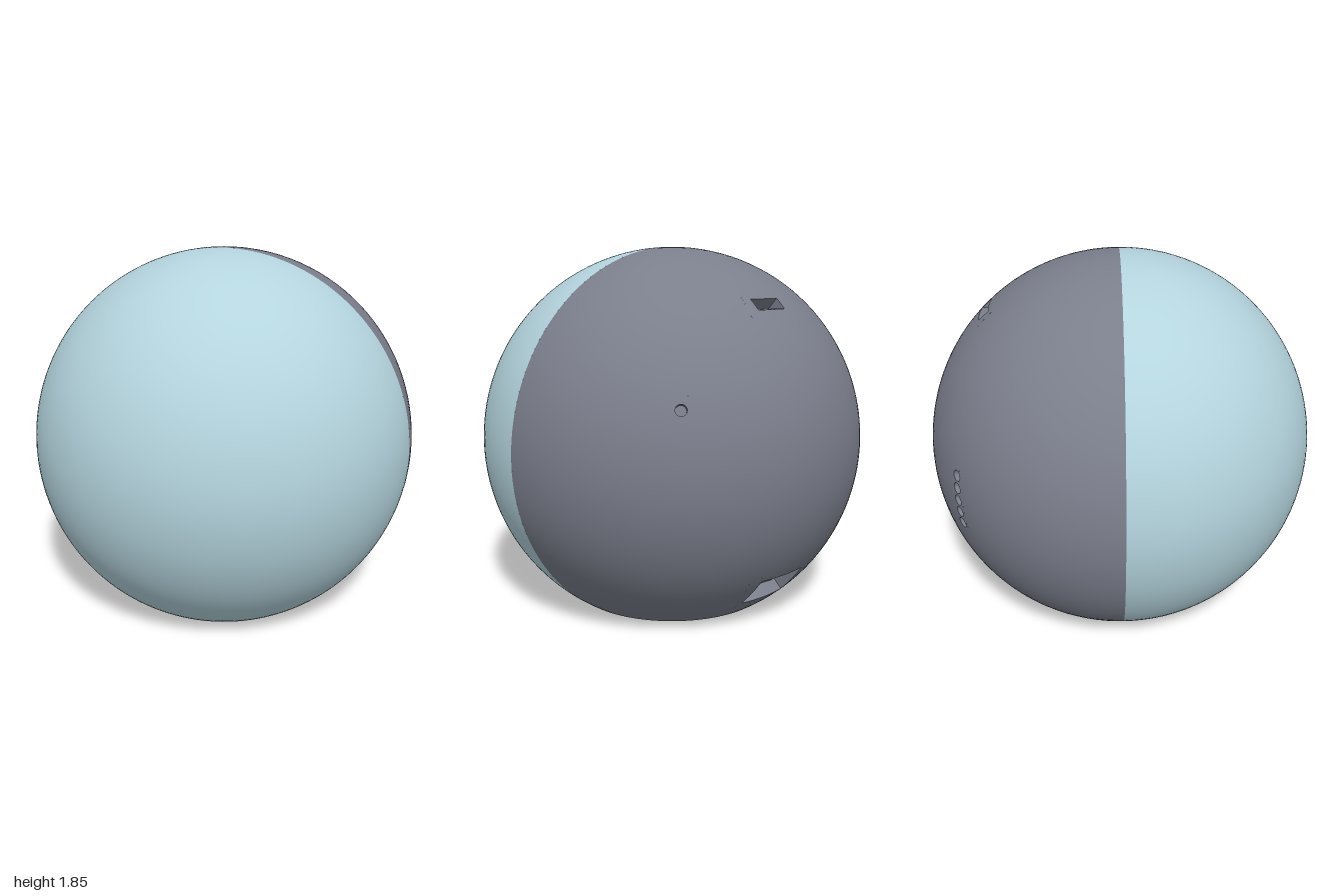
import * as THREE from 'three';

const CENTRE_Y = 0.845;
const RAD = Math.PI / 180;
const BASE_LAT = -Math.asin(CENTRE_Y) / RAD;
const BASE_R = Math.sqrt(1 - CENTRE_Y * CENTRE_Y);

// Point on the unit sphere; azimuth runs from the back (-z) towards +x
const onSphere = (az, lat) => new THREE.Vector3(
  Math.sin(az * RAD) * Math.cos(lat * RAD),
  Math.sin(lat * RAD),
  -Math.cos(az * RAD) * Math.cos(lat * RAD));

// Outlines map the border of a square (-1..1) to azimuth and latitude
const rectOutline = (halfX, lat0, lat1) => (u, v) => {
  const lat = lat0 + (lat1 - lat0) * (v + 1) / 2;
  return [Math.asin(u * halfX / Math.cos(lat * RAD)) / RAD, lat];
};
const roundOutline = (az, lat, r) => (u, v) => {
  const k = r / Math.hypot(u, v);
  return [az + u * k / Math.cos(lat * RAD), lat + v * k];
};

// cell: the patch of sphere [az0, az1, lat0, lat1] that surrounds each recess
const recesses = [
  { name: 'fingerSlot', cell: [-12, 12, 42, 51], centre: [0, 46.6],
    outline: rectOutline(0.09, 44.7, 48.7), depth: v => 0.072 * (v + 1) / 2 },
  { name: 'compartment', cell: [-15, 15, -48, -33], centre: [0, -40.5],
    outline: rectOutline(0.145, -46.1, -34.8), depth: () => 0.17, floor: 'green' },
  { name: 'sideHole', cell: [36, 42, 15, 21], centre: [39, 17.4],
    outline: roundOutline(39, 17.4, 1.5), depth: () => 0.04 },
];
for (let i = 0; i < 5; i++) {
  const lat = -8.9 + i * 3.9;
  recesses.push({ name: 'columnHole', cell: [-39.5, -34.5, lat - 1.95, lat + 1.95], centre: [-37, lat],
    outline: roundOutline(-37, lat, 1.6), depth: () => 0.04 });
}

// Splits the spans between breakpoints into steps of at most three degrees
function subdivide(breaks) {
  const out = [breaks[0]];
  for (let i = 1; i < breaks.length; i++) {
    const a = breaks[i - 1], span = breaks[i] - a, n = Math.ceil(span / 3 - 1e-6);
    for (let k = 1; k <= n; k++) out.push(a + span * k / n);
  }
  return out;
}

// Border of the square, counter-clockwise
function squareBorder(n) {
  const pts = [];
  const corners = [[-1, -1], [1, -1], [1, 1], [-1, 1]];
  corners.forEach(([x, y], i) => {
    const [x2, y2] = corners[(i + 1) % 4];
    for (let k = 0; k < n; k++) pts.push([x + (x2 - x) * k / n, y + (y2 - y) * k / n]);
  });
  return pts;
}

const addQuad = (list, a, b, c, d) => list.push(a, b, c, a, c, d);

function toGeometry(points, spherical) {
  const g = new THREE.BufferGeometry().setFromPoints(points);
  if (spherical) g.setAttribute('normal', g.getAttribute('position').clone());
  else g.computeVertexNormals();
  return g;
}

export function createModel() {
  const mats = {
    blue: new THREE.MeshStandardMaterial({ name: 'paleBlue', color: 0xb4d4de }),
    grey: new THREE.MeshStandardMaterial({ name: 'slateGrey', color: 0x7b7f8c }),
    green: new THREE.MeshStandardMaterial({ name: 'boardGreen', color: 0x72b295 }),
  };
  const model = new THREE.Group();
  model.name = 'splitGlobe';
  const add = (name, geometry, mat) => {
    const m = new THREE.Mesh(geometry, mats[mat]);
    m.name = name;
    m.position.y = CENTRE_Y;
    model.add(m);
    return m;
  };

  // Front half shell
  add('frontShell', new THREE.SphereGeometry(1, 64, 64, 0, Math.PI, 0, (90 - BASE_LAT) * RAD), 'blue');

  // Flat underside, one half disc per shell
  for (const [name, start, mat] of [['frontBase', Math.PI, 'blue'], ['backBase', 0, 'grey']]) {
    const disc = new THREE.CircleGeometry(BASE_R, 48, start, Math.PI).rotateX(Math.PI / 2);
    // rotating about x sends the disc's upper half to +z, so mirror by a half turn
    disc.rotateY(Math.PI);
    add(name, disc, mat).position.y = 0;
  }

  // Back half shell, leaving out the patches around the recesses
  const lats = subdivide([BASE_LAT, -48, -33, -10.85, -6.95, -3.05, 0.85, 4.75, 8.65, 15, 21, 42, 51, 90]);
  const azs = subdivide([-90, -39.5, -34.5, -15, -12, 12, 15, 36, 42, 90]);
  const shell = [];
  for (let j = 0; j < lats.length - 1; j++) {
    for (let i = 0; i < azs.length - 1; i++) {
      const az = (azs[i] + azs[i + 1]) / 2, lat = (lats[j] + lats[j + 1]) / 2;
      if (recesses.some(({ cell: c }) => az > c[0] && az < c[1] && lat > c[2] && lat < c[3])) continue;
      addQuad(shell, onSphere(azs[i], lats[j]), onSphere(azs[i], lats[j + 1]),
        onSphere(azs[i + 1], lats[j + 1]), onSphere(azs[i + 1], lats[j]));
    }
  }

  // Recesses: a ring of sphere surface, then walls and a floor
  const border = squareBorder(8);
  for (const r of recesses) {
    const [a0, a1, l0, l1] = r.cell;
    const inward = onSphere(...r.centre).negate();
    const outer = border.map(([u, v]) => onSphere(a0 + (a1 - a0) * (u + 1) / 2, l0 + (l1 - l0) * (v + 1) / 2));
    const rim = border.map(([u, v]) => onSphere(...r.outline(u, v)));
    const deep = border.map(([, v], i) => rim[i].clone().addScaledVector(inward, r.depth(v)));
    const middle = deep.reduce((s, p) => s.add(p), new THREE.Vector3()).divideScalar(deep.length);
    const walls = [], floor = [];
    border.forEach((_, i) => {
      const n = (i + 1) % border.length;
      addQuad(shell, outer[i], rim[i], rim[n], outer[n]);
      addQuad(walls, rim[i], deep[i], deep[n], rim[n]);
      floor.push(deep[i], middle, deep[n]);
    });
    add(r.name + 'Walls', toGeometry(walls), 'grey');
    add(r.name + 'Floor', toGeometry(floor), r.floor || 'grey');
  }
  add('backShell', toGeometry(shell, true), 'grey');

  // Small step on the compartment's lower wall
  const step = add('compartmentStep', new THREE.BoxGeometry(0.1, 0.04, 0.1), 'grey');
  step.position.set(-0.07, CENTRE_Y - 0.615, -0.6);
  step.position.y -= 0.03;
  step.rotation.x = -40.5 * RAD;

  return model;
}
